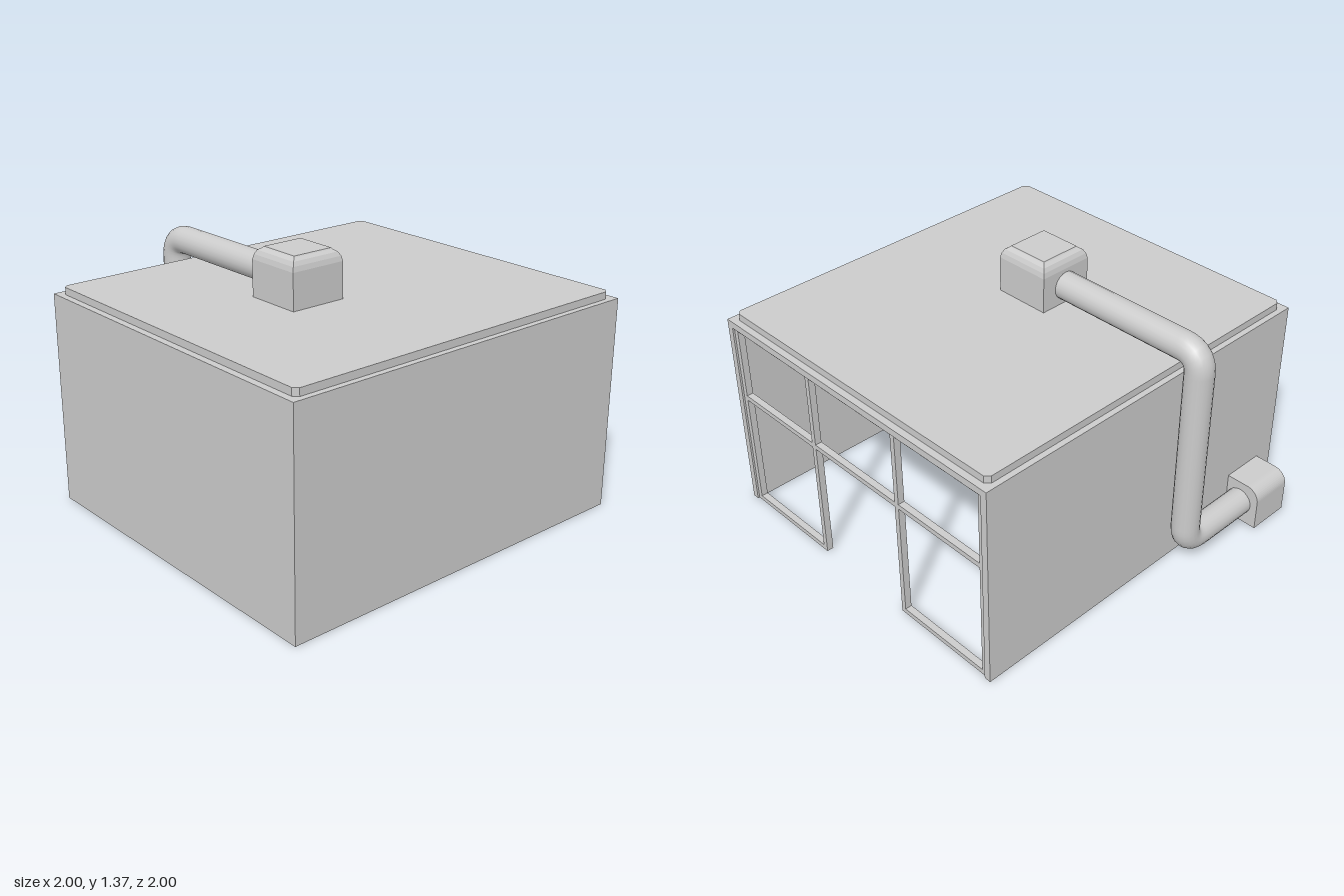
import * as THREE from 'three';

export function createModel() {
  const group = new THREE.Group();
  const flat = new THREE.MeshStandardMaterial({ color: 0xcccccc, flatShading: true });
  const smooth = new THREE.MeshStandardMaterial({ color: 0xcccccc });

  const add = (name, geometry, material = flat) => {
    const mesh = new THREE.Mesh(geometry, material);
    mesh.name = name;
    group.add(mesh);
    return mesh;
  };
  // Box given by its lower and upper corners
  const box = (name, x0, y0, z0, x1, y1, z1) => {
    const mesh = add(name, new THREE.BoxGeometry(x1 - x0, y1 - y0, z1 - z0));
    mesh.position.set((x0 + x1) / 2, (y0 + y1) / 2, (z0 + z1) / 2);
    return mesh;
  };

  const L = -0.81, R = 1, H = 1.09, T = 0.035;

  // Shell: side walls and ceiling in one section, open below and at the back
  const section = new THREE.Shape([
    [L, 0], [L + T, 0], [L + T, H - T], [R - T, H - T],
    [R - T, 0], [R, 0], [R, H], [L, H],
  ].map(([x, y]) => new THREE.Vector2(x, y)));
  add('shell', new THREE.ExtrudeGeometry(section, { depth: 2 - T, bevelEnabled: false }))
    .position.z = -1;
  box('frontWall', L, 0, 1 - T, R, H, 1);

  // Shelf along the inside of the front wall
  box('shelf', L + T, 0.28, 0.71, R - T, 0.3, 1 - T);

  // Window frame at the back, with a doorway in the middle third
  const zA = -0.99, zB = -0.955, bar = 0.026;
  const inL = L + T, inR = R - T, third = (R - L) / 3;
  box('windowHead', inL, H - T - bar / 2, zA, inR, H - T, zB);
  box('transom', inL, 0.64, zA, inR, 0.64 + bar, zB);
  for (const [a, b] of [[inL, L + third + bar / 2], [R - third - bar / 2, inR]]) {
    box('windowSill', a, 0, zA, b, bar, zB);
    for (const x of [a, b - bar]) box('mullion', x, 0, zA, x + bar, H - T, zB);
  }

  // Roof slab with small cut corners
  const w = 0.875, d = 0.965, c = 0.022;
  const slab = new THREE.Shape([
    [-w + c, -d], [w - c, -d], [w, -d + c], [w, d - c],
    [w - c, d], [-w + c, d], [-w, d - c], [-w, -d + c],
  ].map(([x, y]) => new THREE.Vector2(x, y)));
  const roof = add('roofSlab', new THREE.ExtrudeGeometry(slab, { depth: 0.037, bevelEnabled: false }));
  roof.rotation.x = -Math.PI / 2;
  roof.position.set(0.095, H, 0);

  // Roof vent: square section with rounded top edges
  const profile = [
    [0, 1.12], [0.149, 1.12], [0.149, 1.31], [0.143, 1.335],
    [0.132, 1.355], [0.115, 1.367], [0.11, 1.373], [0, 1.373],
  ].map(([half, y]) => new THREE.Vector2(half * Math.SQRT2, y));
  const vent = add('roofVent', new THREE.LatheGeometry(profile, 4));
  vent.rotation.y = Math.PI / 4;
  vent.position.set(0.092, 0, 0.225);

  // Pipe from the roof vent, down the side wall and forward to the side unit
  const V = (x, y, z) => new THREE.Vector3(x, y, z);
  const px = -0.89, top = 1.22, low = 0.128, pz = 0.225, r = 0.1;
  const path = new THREE.CurvePath();
  path.add(new THREE.LineCurve3(V(0, top, pz), V(px + r, top, pz)));
  path.add(new THREE.QuadraticBezierCurve3(V(px + r, top, pz), V(px, top, pz), V(px, top - r, pz)));
  path.add(new THREE.LineCurve3(V(px, top - r, pz), V(px, low + r, pz)));
  path.add(new THREE.QuadraticBezierCurve3(V(px, low + r, pz), V(px, low, pz), V(px, low, pz + r)));
  path.add(new THREE.LineCurve3(V(px, low, pz + r), V(px, low, 0.7)));
  add('pipe', new THREE.TubeGeometry(path, 100, 0.071, 20), smooth);

  // Side unit with a rounded outer top edge
  const unit = new THREE.Shape();
  unit.moveTo(-1, 0.01);
  unit.lineTo(L, 0.01);
  unit.lineTo(L, 0.243);
  unit.lineTo(-0.93, 0.243);
  unit.absarc(-0.93, 0.173, 0.07, Math.PI / 2, Math.PI, false);
  add('sideUnit', new THREE.ExtrudeGeometry(unit, { depth: 0.23, bevelEnabled: false, curveSegments: 6 }))
    .position.z = 0.657;

  return group;
}
